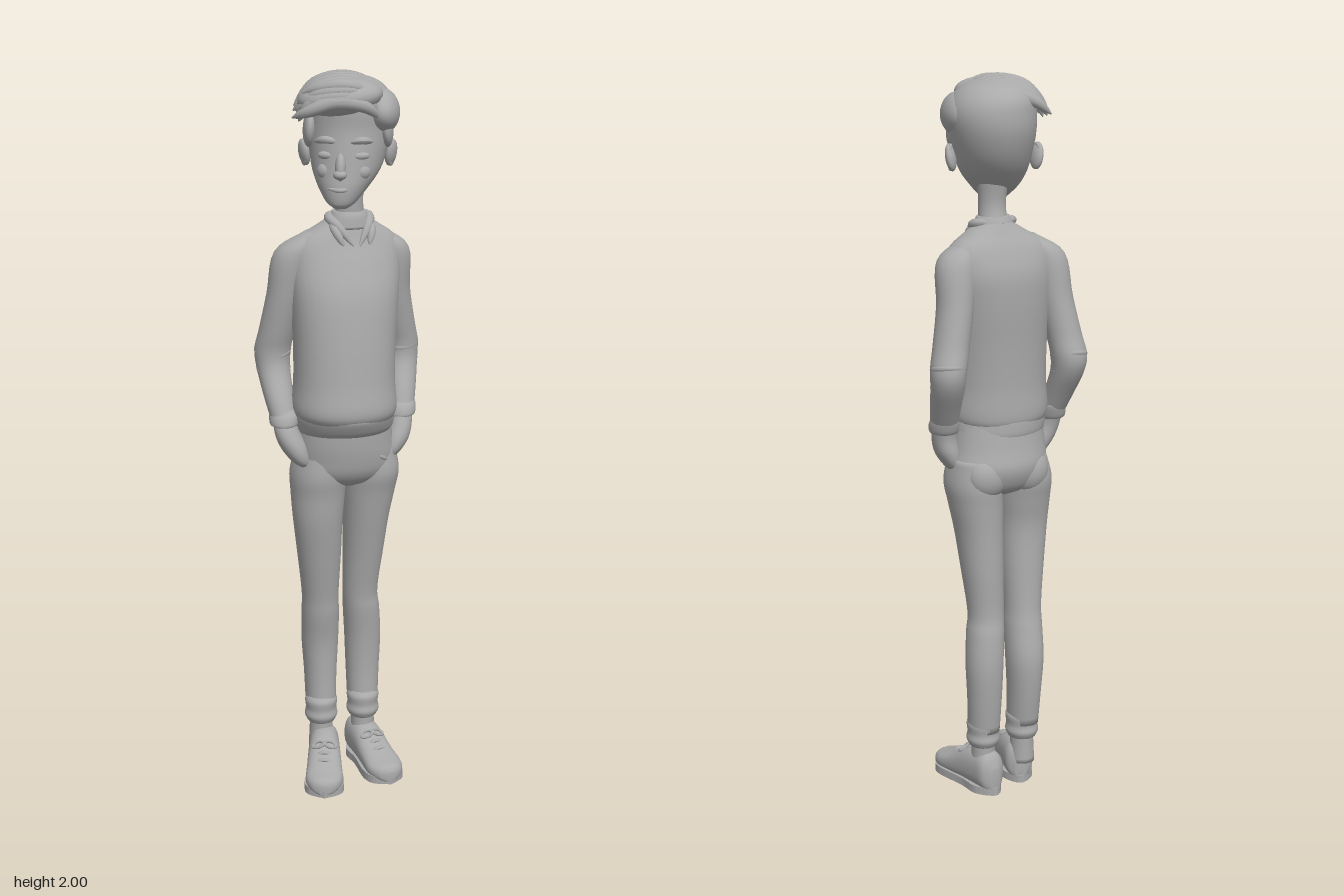
import * as THREE from 'three';

const clay = new THREE.MeshStandardMaterial({ color: 0xaaaaaa });
clay.name = 'clay grey';

const YAW = 0.35; // the body is turned towards its left

// Smooth closed skin through rings [y, centreX, centreZ, radiusX, radiusZ], n = squareness
function loft(rings, { yaw = 0, n = 2, sides = 32, steps = 5 } = {}) {
  if (rings[0][0] > rings[rings.length - 1][0]) rings = [...rings].reverse();
  const spline = (pts) => new THREE.CatmullRomCurve3(pts, false, 'catmullrom', 0.5);
  const centre = spline(rings.map((r) => new THREE.Vector3(r[1], r[0], r[2])));
  const radius = spline(rings.map((r) => new THREE.Vector3(r[3], 0, r[4])));
  const rows = (rings.length - 1) * steps;
  const pos = [], idx = [];
  const power = (v) => Math.sign(v) * Math.abs(v) ** (2 / n);
  for (let i = 0; i <= rows; i++) {
    const c = centre.getPoint(i / rows), r = radius.getPoint(i / rows);
    for (let j = 0; j < sides; j++) {
      const t = (j / sides) * Math.PI * 2;
      const a = r.x * power(Math.cos(t)), b = r.z * power(Math.sin(t));
      pos.push(c.x + a * Math.cos(yaw) + b * Math.sin(yaw), c.y, c.z - a * Math.sin(yaw) + b * Math.cos(yaw));
      if (i === rows) continue;
      const k = (j + 1) % sides, p = i * sides, q = p + sides;
      idx.push(p + j, q + j, p + k, p + k, q + j, q + k);
    }
  }
  const low = pos.length / 3, last = rows * sides;
  for (const t of [0, 1]) pos.push(...centre.getPoint(t).toArray());
  for (let j = 0; j < sides; j++) {
    const k = (j + 1) % sides;
    idx.push(low, j, k, low + 1, last + k, last + j);
  }
  const g = new THREE.BufferGeometry();
  g.setAttribute('position', new THREE.Float32BufferAttribute(pos, 3));
  g.setIndex(idx);
  g.computeVertexNormals();
  return g;
}

// Tube that thins out to both ends
function strand(points, r) {
  const curve = new THREE.CatmullRomCurve3(points.map((p) => new THREE.Vector3(...p)));
  const g = new THREE.TubeGeometry(curve, 20, r, 10);
  const p = g.attributes.position, v = new THREE.Vector3();
  for (let i = 0; i < p.count; i++) {
    const t = Math.floor(i / 11) / 20, c = curve.getPointAt(t);
    const s = Math.max(0.02, Math.sin(Math.PI * t)) ** 0.6;
    v.fromBufferAttribute(p, i).sub(c).multiplyScalar(s).add(c);
    p.setXYZ(i, v.x, v.y, v.z);
  }
  g.computeVertexNormals();
  return g;
}

function add(parent, name, geometry, at = [0, 0, 0], turn = [0, 0, 0], scale = [1, 1, 1]) {
  const m = new THREE.Mesh(geometry, clay);
  m.name = name;
  m.position.set(...at);
  m.rotation.set(...turn);
  m.scale.set(...scale);
  parent.add(m);
}
const ball = new THREE.SphereGeometry(1, 24, 16);

function buildHead() {
  const head = new THREE.Group();
  head.name = 'head';
  add(head, 'skull', loft([
    [1.65, 0.012, 0.09, 0.02, 0.025], [1.665, 0.013, 0.08, 0.04, 0.046], [1.70, 0.018, 0.045, 0.067, 0.084],
    [1.74, 0.025, 0.017, 0.09, 0.106], [1.79, 0.03, -0.005, 0.104, 0.121], [1.85, 0.033, -0.021, 0.115, 0.128],
    [1.9, 0.035, -0.022, 0.118, 0.13], [1.94, 0.03, -0.018, 0.108, 0.122], [1.97, 0.025, -0.01, 0.08, 0.095],
    [1.988, 0.02, 0, 0.03, 0.04],
  ]));
  // Face
  add(head, 'nose', ball, [0.012, 1.76, 0.122], [-0.3, 0, 0], [0.014, 0.036, 0.02]);
  add(head, 'noseTip', ball, [0.011, 1.742, 0.133], [0, 0, 0], [0.018, 0.013, 0.017]);
  add(head, 'mouth', strand([[-0.025, 1.704, 0.113], [0.012, 1.7, 0.128], [0.05, 1.706, 0.112]], 0.006));
  add(head, 'chin', ball, [0.012, 1.668, 0.106], [0, 0, 0], [0.027, 0.018, 0.02]);
  for (const s of [-1, 1]) {
    const x = 0.02 + s * 0.045, z = 0.096 + s * 0.005;
    add(head, 'eye', ball, [x, 1.787, z], [0, s * 0.35, 0], [0.024, 0.011, 0.012]);
    add(head, 'eyebrow', strand([[x - 0.034, 1.82, z + s * 0.011 - 0.009], [x, 1.828, z + 0.007], [x + 0.034, 1.82, z - s * 0.015 - 0.009]], 0.01));
    add(head, 'cheek', ball, [x, 1.745, 0.087 + s * 0.004], [0, s * 0.4, 0], [0.026, 0.024, 0.022]);
    const ear = [0.028 + s * 0.115, 1.78, -0.012];
    add(head, 'ear', ball, ear, [0.15, s * -0.4, s * -0.12], [0.014, 0.037, 0.026]);
    add(head, 'earRim', new THREE.TorusGeometry(0.022, 0.005, 8, 24), ear, [0, Math.PI / 2 - s * 0.4, 0], [0.85, 1.35, 1]);
    add(head, 'sideburn', ball, [0.03 + s * 0.1, 1.85, 0.02], [0, 0, s * 0.08], [0.019, 0.052, 0.05]);
  }
  // Hair swept from the left parting over to the right
  add(head, 'quiff', ball, [0.01, 1.935, 0.065], [0.05, 0, 0.1], [0.112, 0.048, 0.088]);
  add(head, 'sideHair', ball, [0.12, 1.893, 0.005], [0, 0, 0.15], [0.046, 0.058, 0.1]);
  for (let i = 0; i < 13; i++) {
    const z = -0.09 + i * 0.018, drop = 3 * z * z, wave = (i % 3) * 0.008;
    add(head, 'hairLock', strand([
      [0.115, 1.93 - drop, z * 0.7], [0.07, 1.967 - drop, z], [0.0, 1.976 - drop, z + 0.008],
      [-0.07, 1.952 - drop, z + 0.004], [-0.113 + wave, 1.905 - drop * 0.4 - wave, z * 0.85],
    ], 0.021));
  }
  for (let i = 0; i < 4; i++) {
    add(head, 'fringeLock', strand([
      [0.1, 1.93 + i * 0.004, 0.085], [0.035, 1.933 + i * 0.012, 0.135 - i * 0.004], [-0.045, 1.918 + i * 0.014, 0.128 - i * 0.006],
      [-0.113 + i * 0.006, 1.883 + i * 0.018, 0.075],
    ], 0.017));
  }
  return head;
}

function buildTorso() {
  const torso = new THREE.Group();
  torso.name = 'torso';
  add(torso, 'neck', loft([
    [1.75, 0.03, -0.015, 0.045, 0.045], [1.66, 0.033, -0.012, 0.037, 0.036], [1.6, 0.032, -0.02, 0.042, 0.042], [1.54, 0.03, -0.025, 0.06, 0.05],
  ]));
  add(torso, 'sweater', loft([
    [1.61, 0.03, -0.025, 0.045, 0.045], [1.585, 0.028, -0.027, 0.085, 0.056], [1.545, 0.022, -0.03, 0.142, 0.074],
    [1.48, 0.02, -0.025, 0.153, 0.1], [1.4, 0.02, -0.01, 0.149, 0.116], [1.28, 0.02, 0.005, 0.14, 0.122],
    [1.17, 0.02, 0.014, 0.138, 0.126], [1.1, 0.02, 0.018, 0.143, 0.132], [1.07, 0.02, 0.015, 0.136, 0.126], [1.055, 0.02, 0.012, 0.12, 0.11],
  ], { yaw: YAW, n: 2.2 }));
  add(torso, 'sweaterHem', loft([
    [1.085, 0.02, 0.015, 0.135, 0.125], [1.07, 0.02, 0.015, 0.139, 0.128], [1.04, 0.02, 0.006, 0.136, 0.12], [1.025, 0.02, 0.002, 0.13, 0.11],
  ], { yaw: YAW }));
  // Shirt collar with two points meeting in a V
  add(torso, 'collarBand', loft([
    [1.625, 0.031, -0.02, 0.045, 0.043], [1.61, 0.031, -0.02, 0.053, 0.05], [1.58, 0.03, -0.022, 0.066, 0.057],
  ], { yaw: YAW }));
  const at = (a, y, b) => [0.03 + a * Math.cos(YAW) + b * Math.sin(YAW), y, -0.02 - a * Math.sin(YAW) + b * Math.cos(YAW)];
  for (const s of [-1, 1]) {
    add(torso, 'collarFold', strand([at(0, 1.61, -0.05), at(s * 0.056, 1.608, 0), at(s * 0.042, 1.588, 0.04), at(s * 0.008, 1.538, 0.072)], 0.013));
    add(torso, 'collarPoint', strand([at(s * 0.058, 1.6, 0.01), at(s * 0.05, 1.575, 0.046), at(s * 0.036, 1.54, 0.07)], 0.012));
  }
  return torso;
}

function buildArm(name, sleeve, hand) {
  const arm = new THREE.Group();
  arm.name = name;
  add(arm, 'sleeve', loft(sleeve));
  const [y, x, z, rx, rz] = sleeve[sleeve.length - 1];
  add(arm, 'cuff', loft([[y + 0.03, x, z - 0.015, rx, rz], [y + 0.012, x, z - 0.005, rx + 0.005, rz + 0.005], [y - 0.01, x, z + 0.003, rx + 0.003, rz + 0.003], [y - 0.015, x, z + 0.005, rx - 0.01, rz - 0.01]]));
  // Folds at the elbow
  for (const k of [4, 5]) {
    const [fy, fx, fz, frx, frz] = sleeve[k];
    add(arm, 'elbowFold', new THREE.TorusGeometry(1, 0.11, 8, 28), [fx, fy, fz], [Math.PI / 2 + 0.25, 0, 0], [frx * 0.92, frz * 0.92, 0.07]);
  }
  add(arm, 'hand', loft(hand));
  return arm;
}

function buildLeg(name, rings, cuffAt, foot, turn) {
  const leg = new THREE.Group();
  leg.name = name;
  add(leg, 'trouserLeg', loft(rings, { yaw: YAW, n: 2.15 }));
  const [x, z] = cuffAt;
  add(leg, 'trouserCuff', loft([[0.215, x, z, 0.038, 0.044], [0.2, x, z, 0.046, 0.053], [0.175, x, z, 0.044, 0.051], [0.155, x, z, 0.047, 0.054], [0.138, x, z, 0.04, 0.046]]));
  add(leg, 'ankle', loft([[0.18, x, z, 0.033, 0.038], [0.12, x, z, 0.033, 0.038], [0.06, x, z, 0.036, 0.04]]));
  // Shoe, lofted from toe to heel
  const shoe = new THREE.Group();
  shoe.name = 'shoe';
  shoe.position.set(foot[0], 0, foot[1]);
  shoe.rotation.y = turn;
  const section = (t, w, h) => [t, 0, -h / 2 - 0.006, w, h / 2];
  add(shoe, 'upper', loft([
    section(0.14, 0.012, 0.03), section(0.128, 0.036, 0.046), section(0.095, 0.052, 0.055), section(0.04, 0.05, 0.075),
    section(-0.02, 0.046, 0.105), section(-0.07, 0.043, 0.115), section(-0.11, 0.038, 0.11), section(-0.13, 0.015, 0.07),
  ], { n: 2.4 }).rotateX(Math.PI / 2));
  const outline = new THREE.SplineCurve([[0, 0.142], [0.045, 0.115], [0.056, 0.07], [0.044, -0.02], [0.042, -0.09], [0, -0.135],
    [-0.042, -0.09], [-0.044, -0.02], [-0.056, 0.07], [-0.045, 0.115], [0, 0.142]].map((p) => new THREE.Vector2(...p)));
  add(shoe, 'sole', new THREE.ExtrudeGeometry(new THREE.Shape(outline.getPoints(50)), { depth: 0.022, bevelEnabled: false }), [0, 0.022, 0], [Math.PI / 2, 0, 0]);
  for (let i = 0; i < 3; i++) {
    const t = 0.055 - i * 0.026, h = 0.076 + i * 0.011;
    add(shoe, 'lace', strand([[-0.034, h - 0.018, t - 0.005], [0, h, t], [0.034, h - 0.018, t - 0.005]], 0.006));
  }
  for (const s of [-1, 1]) add(shoe, 'laceBow', new THREE.TorusGeometry(0.013, 0.004, 6, 16), [s * 0.017, 0.1, 0.006], [-1.1, s * 0.4, 0], [1.3, 0.8, 1]);
  leg.add(shoe);
  return leg;
}

export function createModel() {
  const figure = new THREE.Group();
  figure.name = 'standingFigure';
  figure.add(buildHead(), buildTorso());

  figure.add(buildArm('leftArm', [
    [1.57, 0.1, -0.058, 0.025, 0.03], [1.515, 0.138, -0.078, 0.055, 0.056], [1.4, 0.148, -0.1, 0.05, 0.06], [1.3, 0.163, -0.125, 0.049, 0.058],
    [1.24, 0.173, -0.143, 0.049, 0.059], [1.19, 0.175, -0.138, 0.046, 0.055], [1.12, 0.176, -0.1, 0.041, 0.05], [1.06, 0.176, -0.068, 0.036, 0.043],
  ], [[1.08, 0.176, -0.07, 0.028, 0.034], [1.03, 0.174, -0.052, 0.033, 0.042], [0.985, 0.162, -0.042, 0.036, 0.05], [0.945, 0.145, -0.035, 0.026, 0.042], [0.92, 0.13, -0.035, 0.008, 0.012]]));
  figure.add(buildArm('rightArm', [
    [1.57, -0.062, 0, 0.025, 0.03], [1.515, -0.113, 0.006, 0.055, 0.056], [1.4, -0.14, 0, 0.05, 0.058], [1.3, -0.163, -0.013, 0.049, 0.057],
    [1.24, -0.176, -0.024, 0.05, 0.058], [1.19, -0.174, -0.015, 0.046, 0.055], [1.12, -0.158, 0.022, 0.041, 0.05], [1.06, -0.142, 0.05, 0.036, 0.043],
  ], [[1.08, -0.145, 0.04, 0.028, 0.034], [1.03, -0.135, 0.058, 0.034, 0.04], [0.985, -0.115, 0.06, 0.037, 0.043], [0.945, -0.095, 0.054, 0.026, 0.036], [0.92, -0.08, 0.045, 0.008, 0.012]]));

  // Trousers
  add(figure, 'trouserSeat', loft([
    [1.08, 0.02, 0, 0.125, 0.105], [1.0, 0.02, -0.01, 0.136, 0.11], [0.95, 0.022, -0.02, 0.142, 0.112], [0.91, 0.022, -0.021, 0.136, 0.102],
    [0.88, 0.022, -0.022, 0.11, 0.08], [0.86, 0.022, -0.022, 0.05, 0.04],
  ], { yaw: YAW, n: 2.1 }));
  for (const s of [-1, 1]) {
    add(figure, 'buttock', ball, [0.002 + s * 0.06, 0.925, -0.076 - s * 0.022], [0, YAW, 0], [0.06, 0.062, 0.045]);
    add(figure, 'pocketEdge', strand([
      [0.06 + s * 0.02, 0.985, 0.075 - s * 0.02], [0.05 + s * 0.07, 0.955, 0.055 - s * 0.012], [0.035 + s * 0.115, 0.93, 0.02 - s * 0.025],
    ], 0.008));
  }

  figure.add(buildLeg('rightLeg', [
    [0.97, -0.044, 0.004, 0.066, 0.085], [0.9, -0.052, 0.003, 0.076, 0.092], [0.84, -0.053, 0.004, 0.074, 0.082], [0.76, -0.053, 0.006, 0.068, 0.071],
    [0.65, -0.05, -0.008, 0.06, 0.063], [0.53, -0.048, -0.026, 0.051, 0.056], [0.47, -0.048, -0.036, 0.052, 0.058], [0.38, -0.05, -0.052, 0.051, 0.058],
    [0.28, -0.049, -0.05, 0.045, 0.054], [0.18, -0.047, -0.04, 0.042, 0.049],
  ], [-0.046, -0.036], [-0.034, 0.062], 0.03));
  figure.add(buildLeg('leftLeg', [
    [0.97, 0.09, -0.044, 0.066, 0.085], [0.9, 0.094, -0.046, 0.074, 0.092], [0.84, 0.088, -0.05, 0.071, 0.084], [0.76, 0.08, -0.055, 0.063, 0.075],
    [0.65, 0.072, -0.065, 0.056, 0.064], [0.53, 0.064, -0.074, 0.049, 0.052], [0.47, 0.067, -0.083, 0.051, 0.055], [0.38, 0.071, -0.094, 0.051, 0.054],
    [0.28, 0.071, -0.093, 0.047, 0.049], [0.18, 0.072, -0.085, 0.043, 0.046],
  ], [0.073, -0.08], [0.1, -0.018], 0.42));

  return figure;
}
